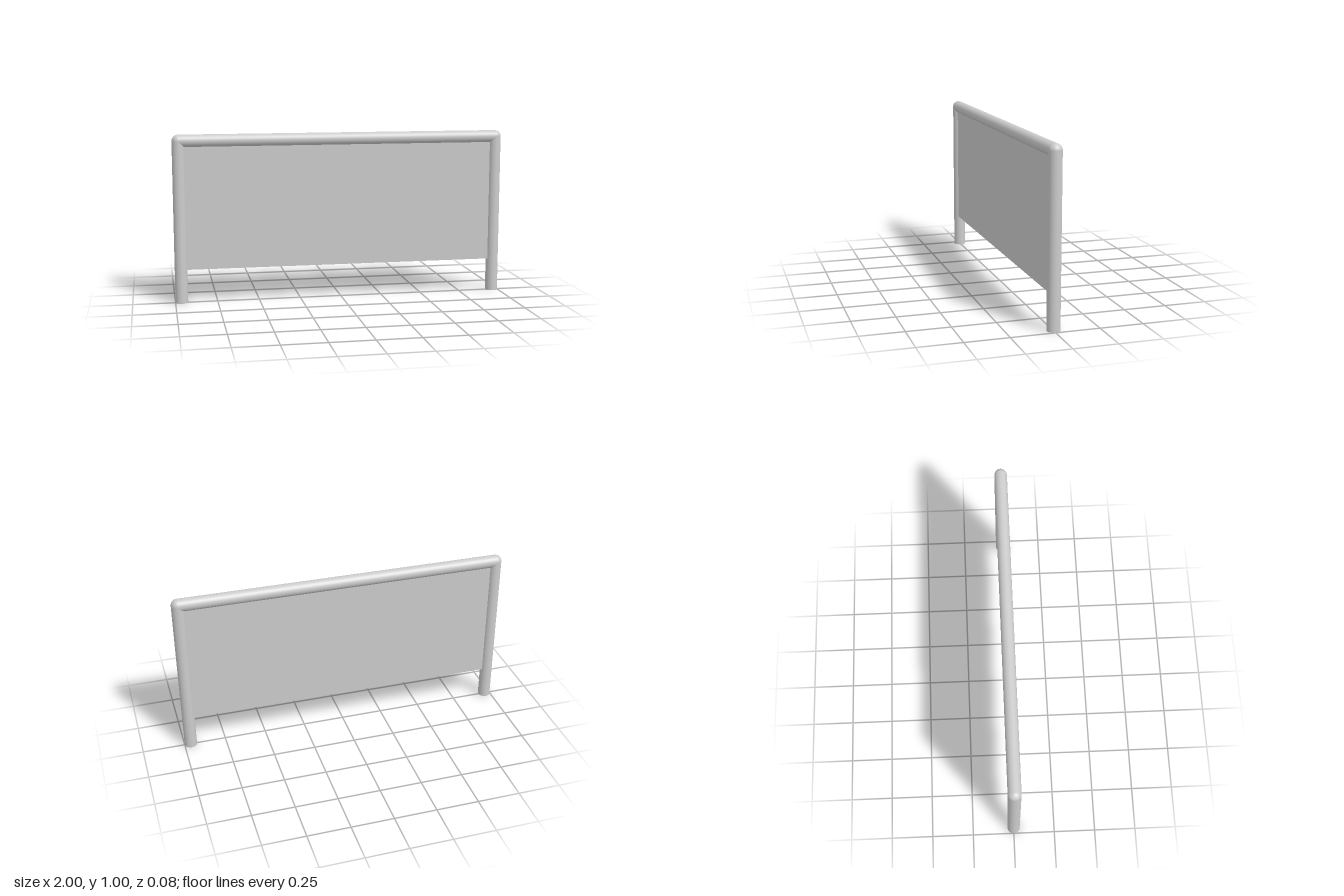
import * as THREE from 'three';

const R = 0.0375;          // tube radius
const X = 1 - R;           // post axis
const Y = 1 - R;           // rail axis

export function createModel() {
  const model = new THREE.Group();
  model.name = 'panelBarrier';
  const material = new THREE.MeshStandardMaterial({ color: 0xcccccc, side: THREE.DoubleSide });

  const add = (name, geometry, x, y) => {
    const mesh = new THREE.Mesh(geometry, material);
    mesh.name = name;
    mesh.position.set(x, y, 0);
    model.add(mesh);
    return mesh;
  };

  // Hollow posts, open at the foot, with rounded corner joints
  for (const [side, s] of [['left', 1], ['right', -1]]) {
    add(side + 'Post', new THREE.CylinderGeometry(R, R, Y, 48, 1, true), s * X, Y / 2);
    add(side + 'Corner', new THREE.SphereGeometry(R, 48, 24, 0, Math.PI * 2, 0, Math.PI / 2), s * X, Y);
  }

  // Top rail between the corners
  const rail = add('topRail', new THREE.CylinderGeometry(R, R, 2 * X, 48, 1, true), 0, Y);
  rail.rotation.z = Math.PI / 2;

  // Infill panel, its edges set into the tubes
  const bottom = 0.2, top = 0.945;
  add('panel', new THREE.BoxGeometry(1.87, top - bottom, 0.032), 0, (top + bottom) / 2);

  return model;
}
